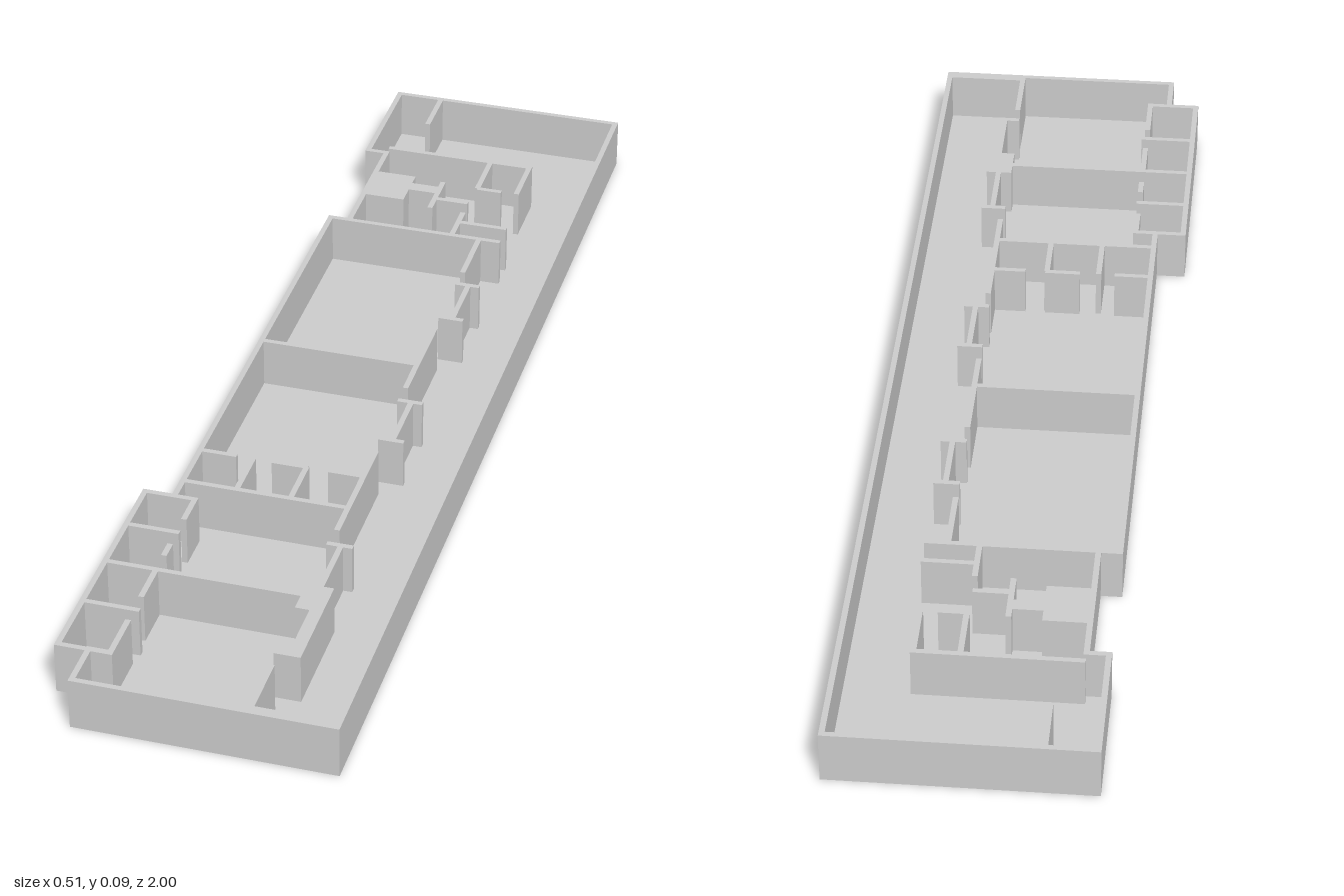
import * as THREE from 'three';

const FLOOR = 0.004, TOP = 0.095, T = 0.01;
const material = new THREE.MeshStandardMaterial({ color: 0xcccccc, flatShading: true });

// Building outline as [x, z], clockwise seen from above
const outline = [
  [-0.202, -1], [0.254, -1], [0.254, 1], [-0.202, 1], [-0.202, 0.917], [-0.255, 0.917],
  [-0.255, 0.46], [-0.202, 0.46], [-0.202, -0.5], [-0.165, -0.5], [-0.165, -0.755], [-0.202, -0.755],
];

// Moves every edge of a right-angled outline inwards by d
function inset(points, d) {
  const n = points.length;
  return points.map(([x, z], i) => {
    const [px, pz] = points[(i + n - 1) % n], [nx, nz] = points[(i + 1) % n];
    const dx = Math.sign(x - px) + Math.sign(nx - x);
    const dz = Math.sign(z - pz) + Math.sign(nz - z);
    return [x - dz * d, z + dx * d];
  });
}

const toPoints = (pts) => pts.map(([x, z]) => new THREE.Vector2(x, -z));

function slab(name, shape, y0, y1) {
  const geo = new THREE.ExtrudeGeometry(shape, { depth: y1 - y0, bevelEnabled: false });
  geo.rotateX(-Math.PI / 2).translate(0, y0, 0);
  const mesh = new THREE.Mesh(geo, material);
  mesh.name = name;
  return mesh;
}

// Solid block standing on the floor
function block(name, x0, z0, x1, z1) {
  const geo = new THREE.BoxGeometry(x1 - x0, TOP - FLOOR, z1 - z0);
  geo.translate((x0 + x1) / 2, (TOP + FLOOR) / 2, (z0 + z1) / 2);
  const mesh = new THREE.Mesh(geo, material);
  mesh.name = name;
  return mesh;
}

// Straight wall along a centre line
function wall(name, x0, z0, x1, z1) {
  const h = T / 2;
  return x0 === x1 ? block(name, x0 - h, z0, x0 + h, z1) : block(name, x0, z0 - h, x1, z0 + h);
}

// Centre lines [x0, z0, x1, z1] of the inner walls
const walls = {
  backRoomWall: [[-0.111, -0.99, -0.111, -0.89]],
  serviceWall: [
    [-0.16, -0.78, 0.13, -0.78], [0.125, -0.78, 0.125, -0.675], [0.047, -0.78, 0.047, -0.675],
    [0.047, -0.675, 0.095, -0.675], [-0.023, -0.68, -0.023, -0.58], [-0.02, -0.617, 0.043, -0.617],
    [0.043, -0.58, 0.043, -0.495], [0.043, -0.545, 0.138, -0.545], [-0.2, -0.495, 0.138, -0.495],
  ],
  corridorWall: [
    [0.097, -0.495, 0.097, -0.37], [0.097, -0.17, 0.097, 0.035], [0.1, 0.24, 0.1, 0.485],
    [0.102, 0.87, 0.102, 0.99],
  ],
  crossWall: [[-0.195, -0.045, 0.097, -0.045], [-0.195, 0.417, 0.1, 0.417], [-0.25, 0.675, 0.1, 0.675]],
  cubicleWall: [
    [-0.195, 0.32, -0.13, 0.32], [-0.1, 0.32, -0.1, 0.417], [-0.065, 0.32, 0, 0.32],
    [-0.003, 0.32, -0.003, 0.417], [0.037, 0.32, 0.1, 0.32],
  ],
  annexWall: [
    [-0.25, 0.465, -0.155, 0.465], [-0.25, 0.912, -0.155, 0.912],
    [-0.25, 0.565, -0.155, 0.565], [-0.25, 0.79, -0.15, 0.79],
    [-0.16, 0.465, -0.16, 0.527], [-0.16, 0.6, -0.16, 0.635],
    [-0.16, 0.675, -0.16, 0.755], [-0.16, 0.82, -0.16, 0.91],
  ],
};

export function createModel() {
  const model = new THREE.Group();
  model.name = 'floorPlan';

  model.add(slab('floor', new THREE.Shape(toPoints(outline)), 0, FLOOR));

  // Outer wall ring; the hole runs the other way so its faces look inwards
  const ring = new THREE.Shape(toPoints(outline));
  ring.holes.push(new THREE.Path(toPoints(inset(outline, T)).reverse()));
  model.add(slab('outerWall', ring, FLOOR, TOP));

  for (const [name, lines] of Object.entries(walls)) {
    const group = new THREE.Group();
    group.name = name + 's';
    for (const line of lines) group.add(wall(name, ...line));
    model.add(group);
  }

  // Partitions with short end caps between the corridor doors
  for (const [z0, z1] of [[-0.33, -0.21], [0.075, 0.2], [0.525, 0.65]]) {
    const group = new THREE.Group();
    group.name = 'doorPartition';
    group.add(wall('partitionWall', 0.119, z0, 0.119, z1));
    for (const z of [z0, z1]) group.add(wall('partitionCap', 0.094, z, 0.14, z));
    model.add(group);
  }

  // Solid shafts and the thicker front end of the corridor
  model.add(
    block('serviceShaft', -0.16, -0.685, -0.08, -0.595),
    block('shaftLink', -0.08, -0.66, -0.023, -0.635),
    block('corridorShaft', 0.094, 0.645, 0.142, 0.713),
    block('shaftWall', 0.119, 0.713, 0.142, 0.835),
    wall('shaftCap', 0.096, 0.835, 0.142, 0.835),
    block('corridorEndWall', 0.107, 0.98, 0.25, 0.99),
  );
  return model;
}
